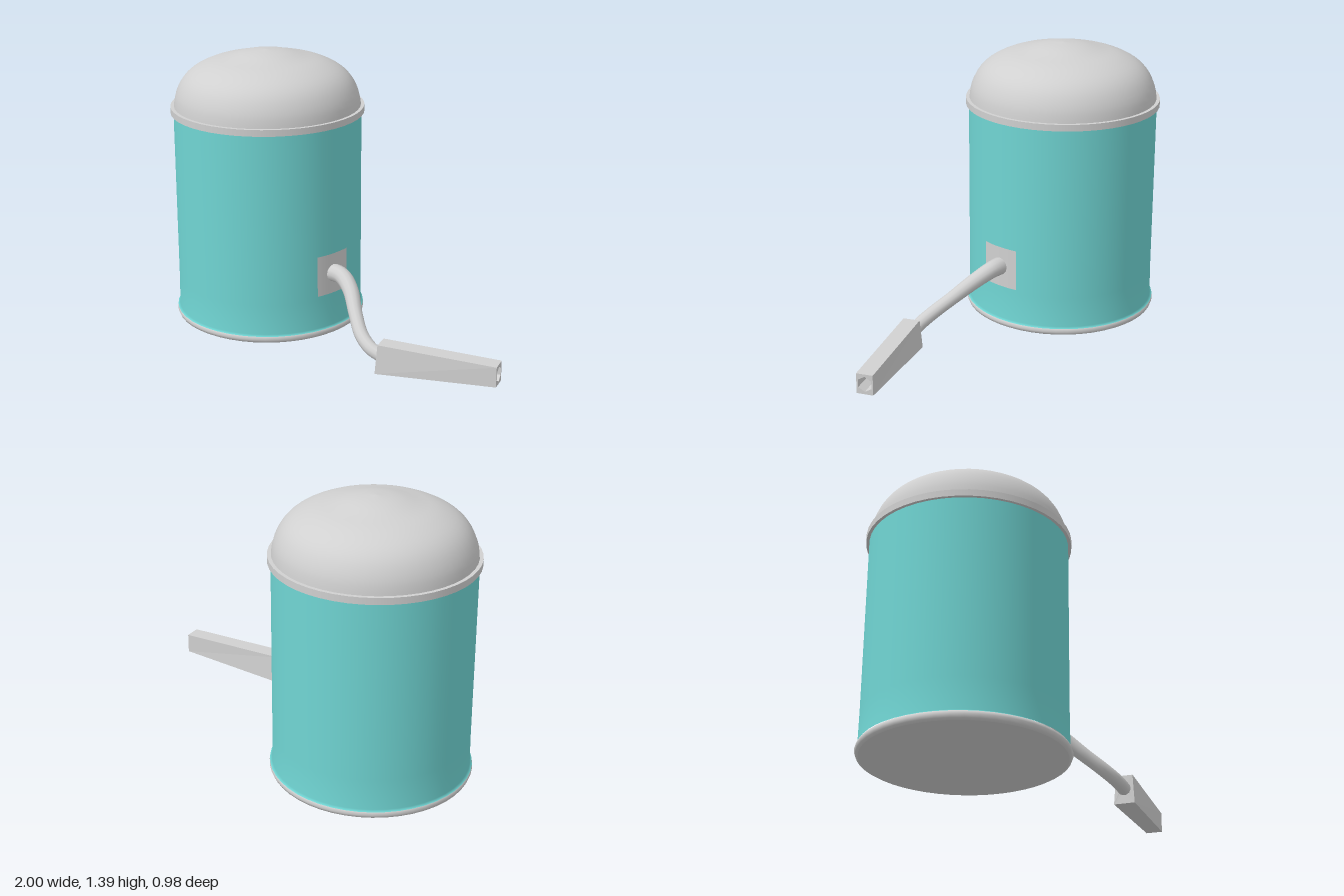
import * as THREE from 'three';

const CX = -0.51; // axis of the tank

export function createModel() {
  const model = new THREE.Group();
  const teal = new THREE.MeshStandardMaterial({ color: 0x70d5d3 });
  teal.name = 'teal paint';
  const grey = new THREE.MeshStandardMaterial({ color: 0xd0d0d0 });
  grey.name = 'light grey metal';

  const add = (name, geometry, material, x = 0, y = 0, z = 0) => {
    const mesh = new THREE.Mesh(geometry, material);
    mesh.name = name;
    mesh.position.set(x, y, z);
    model.add(mesh);
    return mesh;
  };
  const lathe = (name, profile, material) =>
    add(name, new THREE.LatheGeometry(profile.map(p => new THREE.Vector2(...p)), 48), material, CX);

  // Tank wall, with a small lip that softens its foot
  lathe('tankWall', [[0.488, 0.038], [0.477, 0.046], [0.475, 0.2], [0.475, 1.085]], teal);

  // Rounded base ring and flat underside
  lathe('baseRing', [[0.472, 0], [0.484, 0.007], [0.49, 0.022], [0.485, 0.036], [0.474, 0.045]], grey);
  const underside = add('underside', new THREE.CircleGeometry(0.472, 48), grey, CX);
  underside.rotation.x = Math.PI / 2;

  // Rim: flat band with a ledge above and below
  add('rimBand', new THREE.CylinderGeometry(0.49, 0.49, 0.033, 48), grey, CX, 1.094);

  // Domed lid
  const dome = new THREE.SplineCurve([
    [0.473, 1.105], [0.462, 1.17], [0.428, 1.24], [0.373, 1.293],
    [0.29, 1.333], [0.2, 1.356], [0.1, 1.381], [0, 1.391],
  ].map(p => new THREE.Vector2(...p)));
  lathe('domeLid', dome.getPoints(20).map(p => [Math.max(p.x, 0), p.y]), grey);

  // Curved plate behind the hose
  const half = 0.21;
  add('hosePlate', new THREE.CylinderGeometry(0.479, 0.479, 0.21, 8, 1, true,
    Math.PI / 2 - half, half * 2), grey, CX, 0.325);

  // Hose, tapering towards the nozzle
  const path = new THREE.CatmullRomCurve3([
    [-0.06, 0.327, 0], [0.03, 0.325, 0], [0.12, 0.285, 0.03], [0.22, 0.205, 0.093],
    [0.31, 0.14, 0.142], [0.39, 0.1, 0.158], [0.455, 0.078, 0.148],
  ].map(p => new THREE.Vector3(...p)));
  const steps = 32, sides = 12;
  const hose = new THREE.TubeGeometry(path, steps, 1, sides);
  const v = new THREE.Vector3();
  for (let i = 0; i <= steps; i++) {
    const centre = path.getPointAt(i / steps);
    const radius = THREE.MathUtils.lerp(0.046, 0.034, Math.min(1, i / steps * 1.8));
    for (let j = 0; j <= sides; j++) {
      const k = i * (sides + 1) + j;
      v.fromBufferAttribute(hose.attributes.position, k).sub(centre).multiplyScalar(radius).add(centre);
      hose.attributes.position.setXYZ(k, v.x, v.y, v.z);
    }
  }
  add('hose', hose, grey);

  // Nozzle: square bar with a hexagonal bore, then tapered by moving its corners
  const length = 0.595;
  const section = new THREE.Shape([[-1, -1], [1, -1], [1, 1], [-1, 1]].map(p => new THREE.Vector2(...p)));
  const bore = new THREE.Path();
  for (let i = 0; i < 6; i++) {
    const a = -i * Math.PI / 3 + Math.PI / 2;
    bore[i ? 'lineTo' : 'moveTo'](Math.cos(a) * 0.5, Math.sin(a) * 0.5);
  }
  bore.closePath();
  section.holes.push(bore);
  const nozzle = new THREE.ExtrudeGeometry(section, { depth: length, bevelEnabled: false });
  const pos = nozzle.attributes.position;
  for (let i = 0; i < pos.count; i++) {
    const x = pos.getX(i), y = pos.getY(i), far = pos.getZ(i) > length / 2;
    if (Math.abs(y) > 0.9) {
      const top = y > 0;
      const width = far ? 0.041 : top ? 0.042 : 0.052;
      const height = far ? (top ? 0.14 : 0.039) : (top ? 0.151 : 0.004);
      pos.setXYZ(i, x * width, height, far ? length : top ? 0.01 : 0);
    } else {
      const scale = far ? 0.076 : 0.04;
      pos.setXYZ(i, x * scale, y * scale + (far ? 0.09 : 0.078), far ? length : 0.005);
    }
  }
  nozzle.computeVertexNormals();
  add('nozzle', nozzle, grey, 0.437, 0, 0.155).rotation.y = Math.atan2(0.545, -0.238);

  return model;
}
